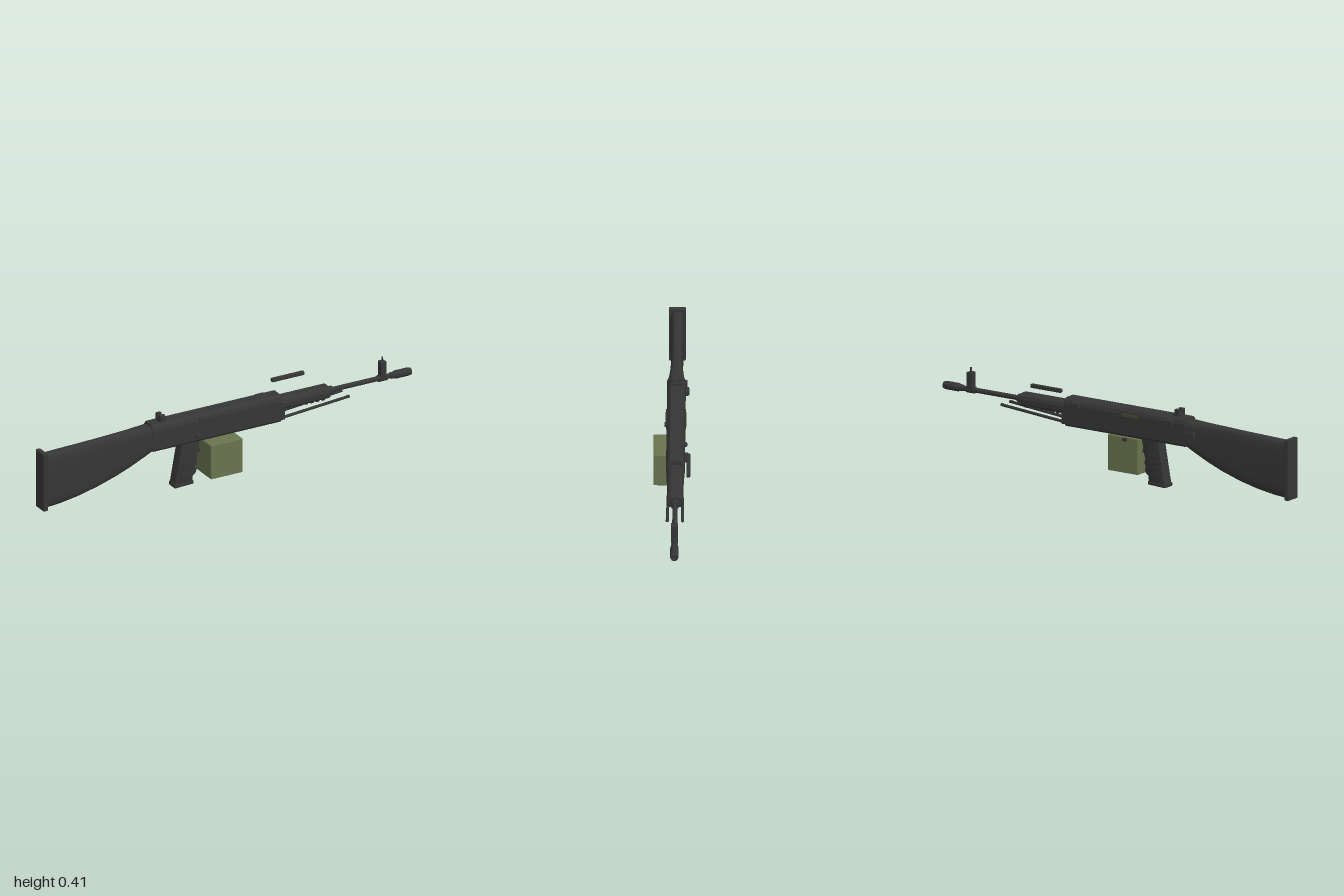
import * as THREE from 'three';
import { toCreasedNormals } from 'three/addons/utils/BufferGeometryUtils.js';
import { RoundedBoxGeometry } from 'three/addons/geometries/RoundedBoxGeometry.js';

const material = (name, color) => {
  const m = new THREE.MeshStandardMaterial({ color });
  m.name = name;
  return m;
};

export function createModel() {
  const metal = material('dark metal', 0x363636);
  const olive = material('olive', 0x69744f);
  const brass = material('dull brass', 0x4d4a36);

  const model = new THREE.Group();
  model.name = 'rifle';
  // Everything but the ammo box is symmetric about this body axis
  const body = new THREE.Group();
  body.name = 'body';
  body.position.z = -0.017;
  model.add(body);

  const add = (name, geometry, mat = metal, parent = body) => {
    const mesh = new THREE.Mesh(geometry, mat);
    mesh.name = name;
    parent.add(mesh);
    return mesh;
  };
  // Box given by its limits
  const box = (name, x0, x1, y0, y1, z0, z1, mat = metal, r = 0.003) => {
    const s = [x1 - x0, y1 - y0, z1 - z0];
    const g = new RoundedBoxGeometry(...s, 1, Math.min(r, Math.min(...s) * 0.3));
    const mesh = add(name, g, mat);
    mesh.position.set((x0 + x1) / 2, (y0 + y1) / 2, (z0 + z1) / 2);
    return mesh;
  };
  // Mirrored half section of [half width, y] points, extruded along x
  const prism = (name, half, x0, x1) => {
    const pts = [...half, ...half.map(([w, y]) => [-w, y]).reverse()];
    const shape = new THREE.Shape(pts.map(p => new THREE.Vector2(...p)));
    const g = new THREE.ExtrudeGeometry(shape, {
      depth: x1 - x0 - 0.008, bevelEnabled: true, bevelThickness: 0.004, bevelSize: 0.003, bevelOffset: -0.003, bevelSegments: 1,
    });
    g.rotateY(Math.PI / 2).translate(x0 + 0.004, 0, 0);
    return add(name, g);
  };
  // Turned part along x: [radius, x] points
  const turned = (name, points, y, segments = 20) => {
    const g = new THREE.LatheGeometry(points.map(p => new THREE.Vector2(...p)), segments);
    g.rotateZ(-Math.PI / 2);
    const mesh = add(name, toCreasedNormals(g, 0.6));
    mesh.position.y = y;
    return mesh;
  };
  // Pin or button lying along z
  const pin = (name, x, y, z, r, length) => {
    const mesh = add(name, new THREE.CylinderGeometry(r, r, length, 12).rotateX(Math.PI / 2));
    mesh.position.set(x, y, z);
    return mesh;
  };

  // Stock: rounded sections [x, bottom, top, half width]
  const sections = [
    [-0.98, 0.052, 0.328, 0.033], [-0.9, 0.058, 0.331, 0.031], [-0.8, 0.073, 0.334, 0.029],
    [-0.7, 0.096, 0.337, 0.028], [-0.6, 0.127, 0.341, 0.028], [-0.52, 0.16, 0.343, 0.032],
    [-0.45, 0.195, 0.346, 0.038], [-0.4, 0.222, 0.348, 0.042],
  ];
  const n = 32, pos = [], idx = [];
  const soft = v => Math.sign(v) * Math.abs(v) ** 0.5;
  sections.forEach(([x, lo, hi, w], i) => {
    for (let j = 0; j < n; j++) {
      const a = (j / n) * Math.PI * 2;
      pos.push(x, (lo + hi) / 2 + ((hi - lo) / 2) * soft(Math.sin(a)), w * soft(Math.cos(a)));
      if (i === 0) continue;
      const p = (i - 1) * n + j, q = (i - 1) * n + (j + 1) % n;
      idx.push(p, p + n, q + n, p, q + n, q);
    }
  });
  const stock = new THREE.BufferGeometry();
  stock.setAttribute('position', new THREE.Float32BufferAttribute(pos, 3));
  stock.setIndex(idx);
  add('stock', toCreasedNormals(stock, 0.8));
  box('buttPlate', -1, -0.975, 0.046, 0.342, -0.04, 0.04, metal, 0.006);
  box('stockCatch', -0.463, -0.44, 0.268, 0.298, -0.052, -0.03);

  // Receiver: wide chamfered upper half over a narrower lower half
  prism('upperReceiver', [[0.044, 0.284], [0.044, 0.328], [0.038, 0.345], [0.026, 0.358]], -0.415, 0.285);
  prism('lowerReceiver', [[0.034, 0.22], [0.041, 0.23], [0.041, 0.288]], -0.41, 0.285);
  for (const side of [-1, 1]) {
    box('ejectionPortFrame', -0.163, -0.035, 0.312, 0.342, side * 0.044 - 0.003, side * 0.044 + 0.003);
    for (const [x, y] of [[-0.365, 0.257], [-0.18, 0.278], [-0.03, 0.257], [0.2, 0.257]]) {
      pin('receiverPin', x, y, side * 0.041, 0.007, 0.006);
    }
  }
  box('portCover', -0.15, -0.048, 0.319, 0.335, 0.045, 0.049);
  box('portOpening', -0.15, -0.048, 0.319, 0.335, -0.049, -0.045, brass);
  pin('selector', -0.168, 0.25, 0.046, 0.012, 0.016);
  box('chargingKnob', 0.19, 0.24, 0.315, 0.345, -0.061, -0.04, metal, 0.006);
  box('sightKnob', -0.345, -0.305, 0.315, 0.343, -0.061, -0.04, metal, 0.006);

  // Rear sight
  box('rearSightBase', -0.362, -0.328, 0.35, 0.372, -0.026, 0.026);
  for (const side of [-1, 1]) {
    box('rearSightEar', -0.362, -0.335, 0.365, 0.391, side * 0.017 - 0.009, side * 0.017 + 0.009);
  }
  box('rearSightLeaf', -0.358, -0.34, 0.365, 0.382, -0.01, 0.01);

  // Handguard with ribbed underside
  prism('handguard', [[0.026, 0.278], [0.038, 0.288], [0.039, 0.312], [0.032, 0.328], [0.018, 0.336]], 0.28, 0.55);
  for (let i = 0; i < 8; i++) {
    const x = 0.3 + i * 0.03;
    box('handguardRib', x, x + 0.018, 0.268, 0.285, -0.022, 0.022);
  }
  turned('gasBlock', [[0, 0.54], [0.02, 0.54], [0.02, 0.575], [0, 0.575]], 0.304);

  // Barrel and muzzle
  turned('barrel', [[0.012, 0.5], [0.012, 0.91]], 0.304);
  turned('muzzle', [
    [0.012, 0.885], [0.016, 0.895], [0.016, 0.91], [0.02, 0.918], [0.02, 0.985],
    [0.017, 1], [0.009, 1], [0.009, 0.985], [0, 0.985],
  ], 0.304);

  // Front sight
  turned('frontSightBand', [[0.012, 0.825], [0.017, 0.825], [0.017, 0.87], [0.012, 0.87]], 0.304);
  box('frontSightTower', 0.832, 0.864, 0.308, 0.39, -0.017, 0.017, metal, 0.004);
  box('frontSightPost', 0.844, 0.852, 0.385, 0.412, -0.003, 0.003);

  // Carrying handle bar
  box('carryHandle', 0.285, 0.46, 0.384, 0.404, -0.071, -0.052, metal, 0.005);

  // Folded bipod
  box('bipodHinge', 0.262, 0.305, 0.226, 0.28, -0.036, 0.036);
  for (const side of [-1, 1]) {
    const path = new THREE.LineCurve3(
      new THREE.Vector3(0.275, 0.236, side * 0.031), new THREE.Vector3(0.65, 0.268, side * 0.036));
    add('bipodLeg', new THREE.TubeGeometry(path, 1, 0.007, 10));
    const foot = add('bipodFoot', new THREE.SphereGeometry(0.008, 10, 8));
    foot.position.copy(path.v2).x -= 0.008;
  }

  // Pistol grip with finger grooves
  const gripShape = new THREE.Shape();
  gripShape.moveTo(-0.245, 0.228);
  gripShape.lineTo(-0.283, 0.018);
  gripShape.lineTo(-0.19, 0.018);
  gripShape.lineTo(-0.187, 0.045);
  gripShape.quadraticCurveTo(-0.158, 0.062, -0.172, 0.09);
  gripShape.quadraticCurveTo(-0.158, 0.105, -0.17, 0.128);
  gripShape.quadraticCurveTo(-0.16, 0.145, -0.163, 0.165);
  gripShape.lineTo(-0.146, 0.228);
  const grip = new THREE.ExtrudeGeometry(gripShape, {
    depth: 0.044, bevelEnabled: true, bevelThickness: 0.007, bevelSize: 0.006, bevelOffset: -0.006, bevelSegments: 2, curveSegments: 6,
  });
  add('grip', toCreasedNormals(grip.translate(0, 0, -0.022), 0.6));
  const plate = box('gripBase', -0.287, -0.186, 0.002, 0.02, -0.03, 0.03);
  plate.rotation.z = 0.04;
  for (const side of [-1, 1]) {
    for (let i = 0; i < 5; i++) {
      const y = 0.06 + i * 0.028, x = -0.27 + (y - 0.04) * 0.18;
      box('gripRidge', x + 0.012, x + 0.062, y, y + 0.007, side * 0.029 - 0.002, side * 0.029 + 0.002);
    }
  }

  // Trigger
  const triggerPath = new THREE.QuadraticBezierCurve3(
    new THREE.Vector3(-0.142, 0.226, 0), new THREE.Vector3(-0.155, 0.185, 0), new THREE.Vector3(-0.138, 0.148, 0));
  add('trigger', new THREE.TubeGeometry(triggerPath, 8, 0.005, 8));

  // Ammunition box, offset to one side, with its catch
  const ammo = add('ammoBox', new RoundedBoxGeometry(0.172, 0.174, 0.143, 2, 0.004), olive, model);
  ammo.position.set(-0.049, 0.13, 0.0165);
  box('ammoBoxCatch', -0.075, -0.055, 0.2, 0.215, -0.053, -0.036);

  return model;
}
